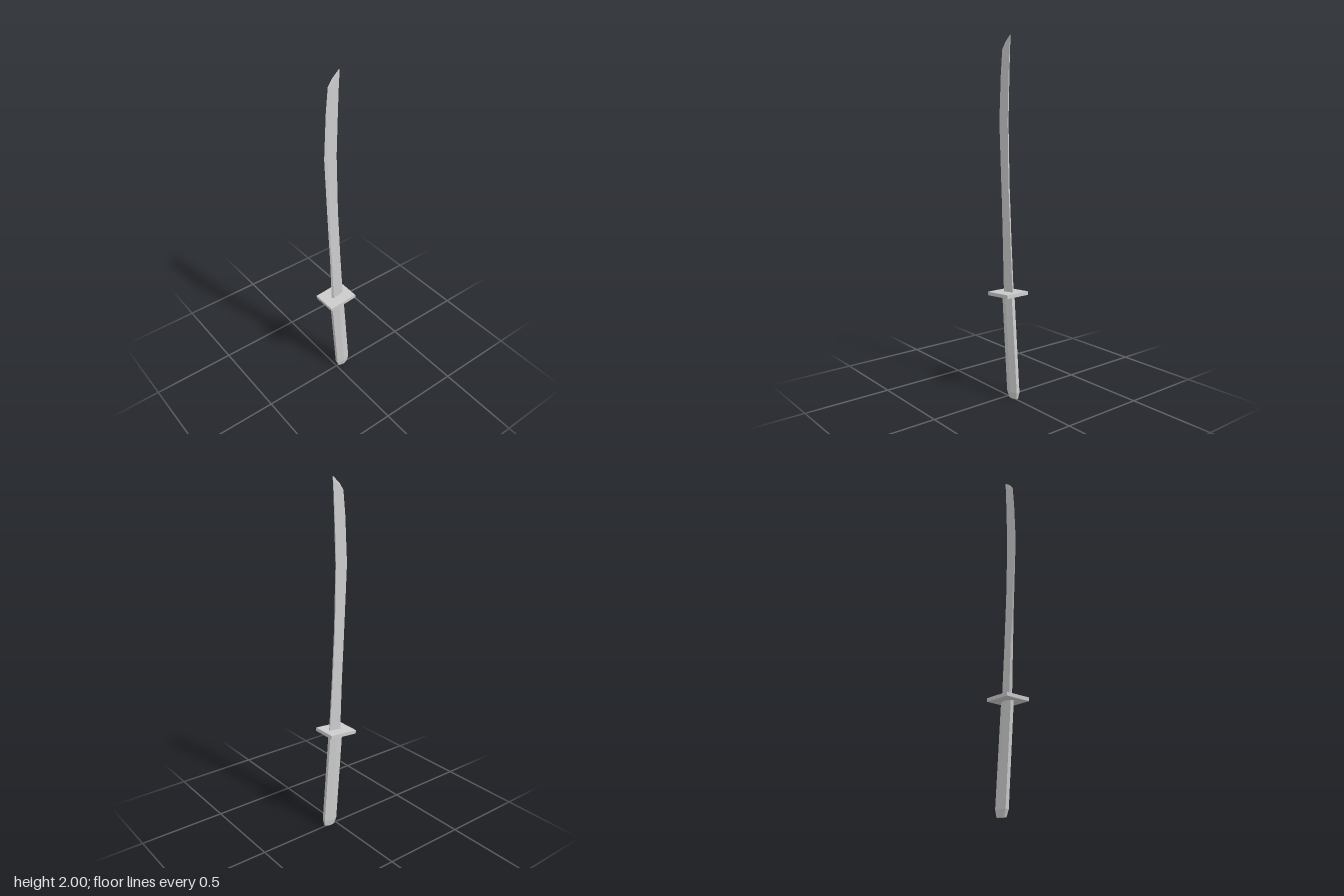
import * as THREE from 'three';

const material = new THREE.MeshStandardMaterial({ color: 0xcccccc, flatShading: true });

// Skins rings of [x, y, z] points (counter-clockwise seen from above, listed bottom to top) and caps both ends.
function loft(rings) {
  const n = rings[0].length;
  const positions = rings.flat(2);
  const index = [];
  for (let r = 0; r < rings.length - 1; r++) {
    for (let i = 0; i < n; i++) {
      const a = r * n + i, b = r * n + (i + 1) % n;
      index.push(a, b, b + n, a, b + n, a + n);
    }
  }
  const top = (rings.length - 1) * n;
  for (let i = 1; i < n - 1; i++) {
    index.push(0, i + 1, i, top, top + i, top + i + 1);
  }
  const geometry = new THREE.BufferGeometry();
  geometry.setAttribute('position', new THREE.Float32BufferAttribute(positions, 3));
  geometry.setIndex(index);
  const flat = geometry.toNonIndexed();
  flat.computeVertexNormals();
  return flat;
}

function part(name, geometry) {
  const mesh = new THREE.Mesh(geometry, material);
  mesh.name = name;
  return mesh;
}

// Blade: sharp edge on -x, ridge just behind it, narrow flat spine on +x
function bladeRing([y, edge, spine, ridge, ridgeZ, spineZ]) {
  return [
    [edge, y, 0], [ridge, y, ridgeZ], [spine, y, spineZ],
    [spine, y, -spineZ], [ridge, y, -ridgeZ],
  ];
}

export function createModel() {
  const group = new THREE.Group();
  group.name = 'sword';
  const tilt = 0.08;

  // y, edge x, spine x, ridge x, ridge half thickness, spine half thickness
  const bladeSections = [
    [0.60, -0.035, 0.043, -0.027, 0.010, 0.004],
    [0.90, -0.046, 0.023, -0.039, 0.008, 0.004],
    [1.01, -0.052, 0.017, -0.046, 0.006, 0.004],
    [1.21, -0.062, 0.006, -0.050, 0.005, 0.004],
    [1.55, -0.078, -0.002, -0.060, 0.004, 0.003],
    [1.80, -0.065, 0.006, -0.048, 0.003, 0.003],
    [1.93, -0.052, 0.012, -0.036, 0.003, 0.002],
    [1.965, -0.027, 0.0145, -0.016, 0.002, 0.002],
    [2.00, 0.013, 0.017, 0.015, 0.0005, 0.0005],
  ];
  group.add(part('blade', loft(bladeSections.map(bladeRing))));

  // Square guard, tilted with the grip
  const guard = part('guard', new THREE.BoxGeometry(0.175, 0.02, 0.144));
  guard.position.set(-0.004, 0.6, 0);
  guard.rotation.z = tilt;
  group.add(guard);

  // Six-sided grip with a bevelled pommel end: y, half width, half depth, flat half depth
  const gripSections = [
    [-0.594, 0.032, 0.015, 0.007],
    [-0.555, 0.043, 0.022, 0.010],
    [0, 0.042, 0.022, 0.010],
  ];
  const grip = part('grip', loft(gripSections.map(([y, w, d, f]) => [
    [-w, y, -f], [-w, y, f], [0, y, d], [w, y, f], [w, y, -f], [0, y, -d],
  ])));
  grip.position.set(0, 0.595, 0);
  grip.rotation.z = tilt;
  group.add(grip);

  return group;
}
